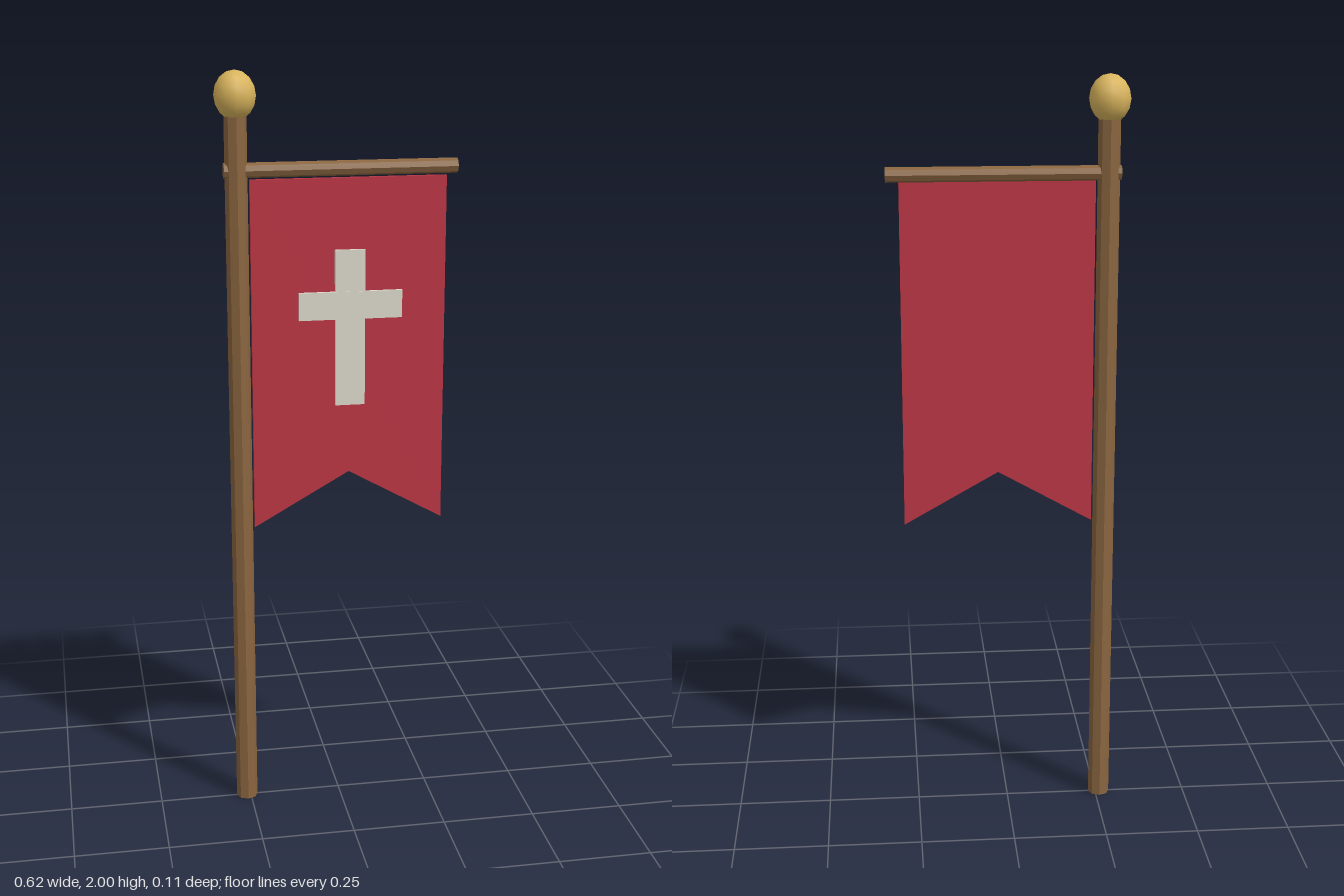
import * as THREE from 'three';

export function createModel() {
  const group = new THREE.Group();
  const wood = new THREE.MeshStandardMaterial({ color: 0x8a6540, flatShading: true });
  const gold = new THREE.MeshStandardMaterial({ color: 0xd9b45c });
  const red = new THREE.MeshStandardMaterial({ color: 0xba3644 });
  const ivory = new THREE.MeshStandardMaterial({ color: 0xdcd8cc });

  const add = (name, geometry, material, x, y, z) => {
    const mesh = new THREE.Mesh(geometry, material);
    mesh.name = name;
    mesh.position.set(x, y, z);
    group.add(mesh);
    return mesh;
  };

  const poleX = -0.26;

  // Upright pole with an egg-shaped finial
  add('pole', new THREE.CylinderGeometry(0.029, 0.029, 1.9, 8), wood, poleX, 0.95, 0);
  const finial = add('finial', new THREE.SphereGeometry(0.054, 10, 8), gold, poleX, 1.938, 0);
  finial.scale.y = 0.062 / 0.054;
  finial.rotation.y = Math.PI / 2;

  // Crossbar passing through the pole
  const bar = add('crossbar', new THREE.CylinderGeometry(0.0195, 0.0195, 0.602, 8), wood, 0.009, 1.752, 0);
  bar.rotation.z = Math.PI / 2;

  // Swallow-tailed cloth
  const outline = new THREE.Shape([
    [-0.23, 1.732], [-0.23, 0.81], [0.023, 0.953], [0.276, 0.81], [0.276, 1.732],
  ].map(([x, y]) => new THREE.Vector2(x, y)));
  add('cloth', new THREE.ExtrudeGeometry(outline, { depth: 0.012, bevelEnabled: false }), red, 0, 0, 0.02);

  // Cross emblem, two thin plates floating just in front of the cloth
  add('emblemUpright', new THREE.BoxGeometry(0.078, 0.41, 0.009), ivory, 0.024, 1.345, 0.041);
  add('emblemArm', new THREE.BoxGeometry(0.27, 0.072, 0.009), ivory, 0.025, 1.406, 0.043);

  return group;
}
